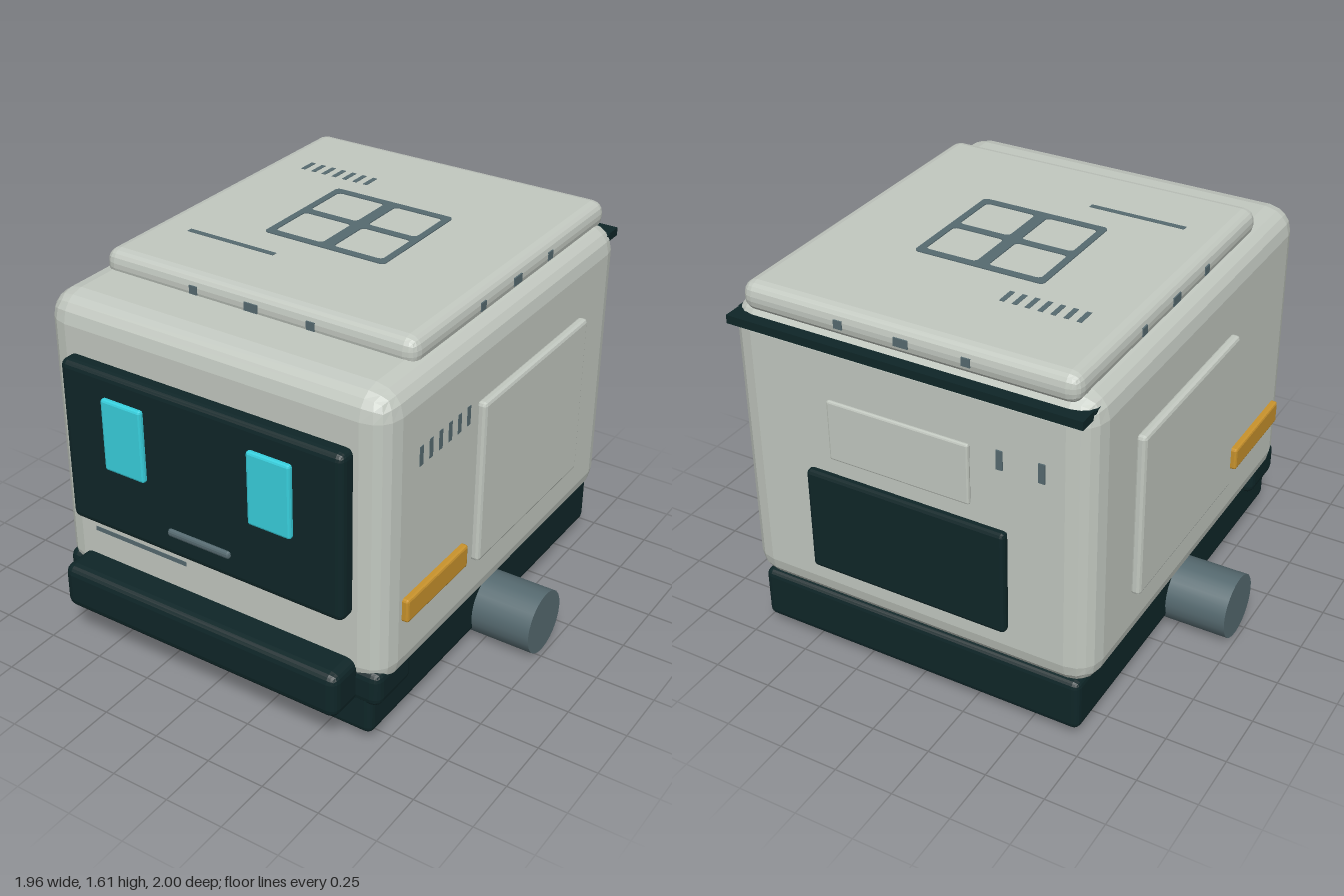
import * as THREE from 'three';
import { RoundedBoxGeometry } from 'three/addons/geometries/RoundedBoxGeometry.js';

const material = (name, color) => {
  const m = new THREE.MeshStandardMaterial({ color });
  m.name = name;
  return m;
};

export function createModel() {
  const model = new THREE.Group();
  model.name = 'deliveryRobot';

  const shell = material('shellGrey', 0xc2c8c0);
  const dark = material('darkTrim', 0x0f2628);
  const slate = material('slate', 0x566a70);
  const cyan = material('eyeCyan', 0x38cfdd);
  const amber = material('amber', 0xc8922c);

  const add = (name, geometry, mat) => {
    const mesh = new THREE.Mesh(geometry, mat);
    mesh.name = name;
    model.add(mesh);
    return mesh;
  };

  // Box given by its limits; a radius above zero bevels the edges in flat facets.
  const box = (name, mat, [x0, x1], [y0, y1], [z0, z1], radius = 0, segments = 2) => {
    const size = [x1 - x0, y1 - y0, z1 - z0];
    const geometry = radius > 0
      ? new RoundedBoxGeometry(...size, segments, radius)
      : new THREE.BoxGeometry(...size);
    if (radius > 0) geometry.computeVertexNormals();
    geometry.translate((x0 + x1) / 2, (y0 + y1) / 2, (z0 + z1) / 2);
    return add(name, geometry, mat);
  };
  // The same box on both sides of the body.
  const pair = (name, mat, [x0, x1], y, z, radius, segments) => {
    box(name + 'Left', mat, [x0, x1], y, z, radius, segments);
    box(name + 'Right', mat, [-x1, -x0], y, z, radius, segments);
  };

  // Main volumes
  box('body', shell, [-0.77, 0.77], [0.26, 1.53], [-0.95, 0.86], 0.11);
  box('base', dark, [-0.72, 0.72], [0.06, 0.29], [-0.94, 0.855], 0.03);
  box('lid', shell, [-0.7, 0.7], [1.49, 1.61], [-0.94, 0.57], 0.05);

  // Dark seal under the lid and its rear lip
  box('lidSeal', dark, [-0.745, 0.745], [1.465, 1.48], [-0.9, 0.62]);
  box('rearLip', dark, [-0.74, 0.74], [1.445, 1.48], [-0.98, -0.85]);

  // Bumpers
  box('frontBumper', dark, [-0.655, 0.655], [0.2, 0.4], [0.82, 1], 0.04);
  pair('cornerBumper', dark, [0.5, 0.755], [0.2, 0.36], [0.61, 0.86], 0.04);

  // Face screen
  box('faceScreen', dark, [-0.64, 0.64], [0.6, 1.31], [0.84, 0.93], 0.03);
  pair('eye', cyan, [0.24, 0.43], [0.9, 1.21], [0.91, 0.95], 0.01, 1);
  box('mouth', slate, [-0.145, 0.145], [0.7, 0.73], [0.92, 0.945], 0.01, 1);

  // Side doors and lamps
  pair('sideDoor', shell, [0.76, 0.805], [0.52, 1.23], [-0.62, 0.22], 0.015, 1);
  pair('sideLamp', amber, [0.76, 0.797], [0.545, 0.645], [0.29, 0.73], 0.01, 1);

  // Back panels
  box('rearPanel', dark, [-0.43, 0.43], [0.45, 0.9], [-0.985, -0.94], 0.015, 1);
  box('rearPlate', shell, [-0.3, 0.3], [1, 1.255], [-1, -0.98], 0.008, 1);
  for (const x of [-0.4, -0.57]) {
    box('rearSlit', slate, [x - 0.013, x + 0.013], [1.16, 1.24], [-0.956, -0.948]);
  }

  // Wheel drums
  for (const [name, side] of [['wheelLeft', 1], ['wheelRight', -1]]) {
    const wheel = add(name, new THREE.CylinderGeometry(0.137, 0.137, 0.39, 24), slate);
    wheel.rotation.z = Math.PI / 2;
    wheel.position.set(side * 0.785, 0.14, -0.045);
  }

  // Four-pane emblem frame on the lid
  const rounded = (path, cx, cy, half, r) => {
    const a = half - r;
    path.absarc(cx + a, cy + a, r, 0, Math.PI / 2);
    path.absarc(cx - a, cy + a, r, Math.PI / 2, Math.PI);
    path.absarc(cx - a, cy - a, r, Math.PI, Math.PI * 1.5);
    path.absarc(cx + a, cy - a, r, Math.PI * 1.5, Math.PI * 2);
    path.closePath();
    return path;
  };
  const frame = rounded(new THREE.Shape(), 0, 0, 0.277, 0.02);
  for (const x of [-0.137, 0.137]) {
    for (const y of [-0.13, 0.13]) {
      frame.holes.push(rounded(new THREE.Path(), x, y, 0.111, 0.02));
    }
  }
  const frameGeometry = new THREE.ExtrudeGeometry(frame, { depth: 0.008, bevelEnabled: false, curveSegments: 4 });
  frameGeometry.scale(1, 0.94, 1).rotateX(-Math.PI / 2);
  add('lidFrame', frameGeometry, slate).position.set(0, 1.606, -0.16);

  // Lid fasteners on all four sides
  for (const [offset, half] of [[-0.265, 0.018], [0, 0.03], [0.265, 0.018]]) {
    const y = [1.533, 1.567];
    const along = [offset - half, offset + half];
    const alongZ = [offset - half - 0.18, offset + half - 0.18];
    box('frontFastener', slate, along, y, [0.56, 0.574]);
    box('rearFastener', slate, along, y, [-0.944, -0.93]);
    pair('sideFastener', slate, [0.69, 0.704], y, alongZ);
  }

  // Thin vents and seams
  for (let i = 0; i < 6; i++) {
    const z = 0.622 - i * 0.067;
    box('sideVent', slate, [0.765, 0.772], [1.165, 1.245], [z - 0.012, z + 0.012]);
  }
  for (let i = 0; i < 7; i++) {
    const x = -0.52 + i * 0.052;
    box('lidVent', slate, [x - 0.01, x + 0.01], [1.605, 1.612], [-0.6, -0.52]);
  }
  box('lidSeam', slate, [-0.53, -0.12], [1.605, 1.612], [0.238, 0.262]);
  box('frontSeam', slate, [-0.585, -0.13], [0.515, 0.535], [0.855, 0.862]);

  return model;
}
